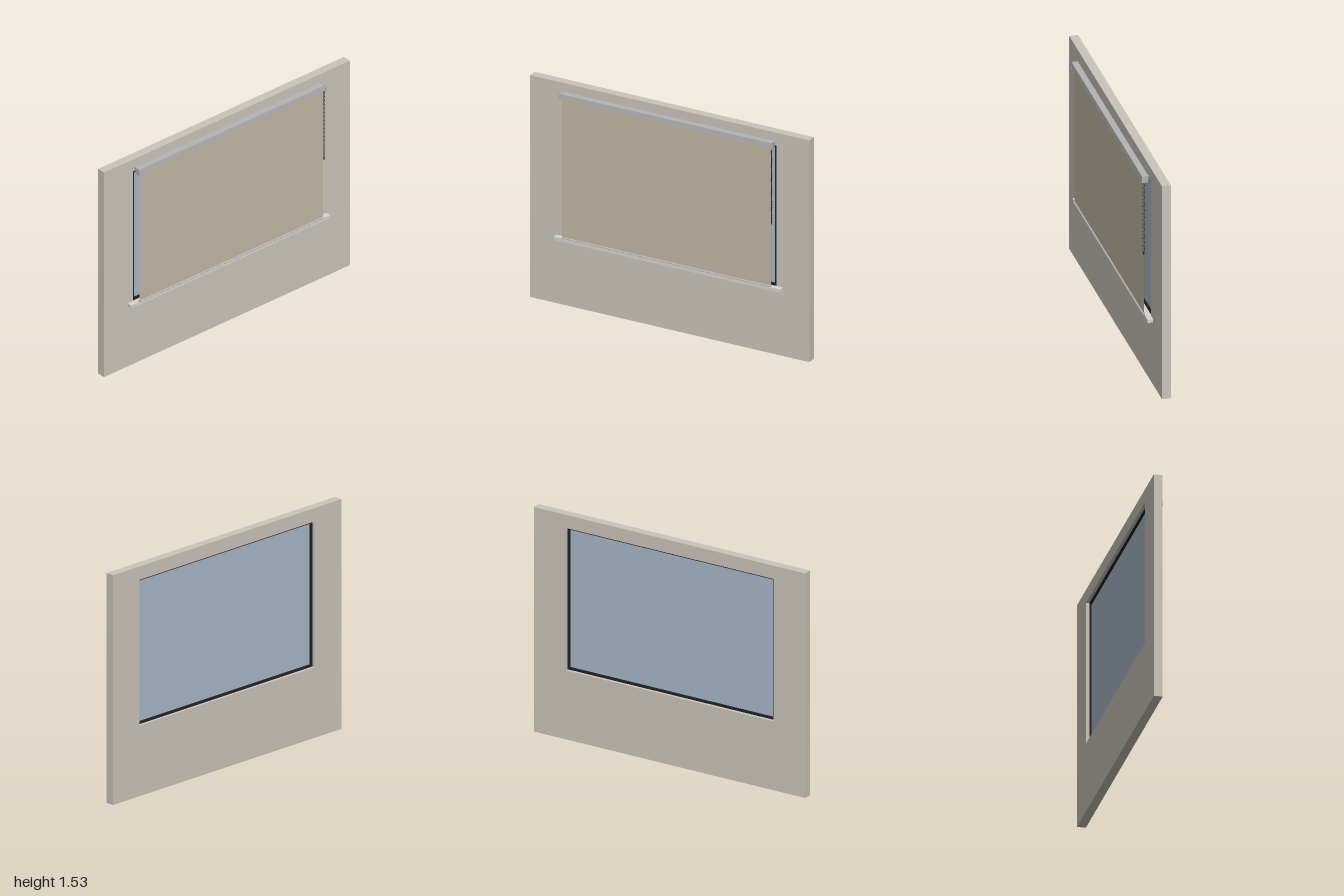
import * as THREE from 'three';

const mat = (color, side = THREE.FrontSide) => new THREE.MeshStandardMaterial({ color, side });
const WALL = mat(0xcbc5bb), GLASS = mat(0xa9b8c8), FRAME = mat(0x222222), SHADE = mat(0xc4b8a5, THREE.DoubleSide);
const METAL = mat(0xb4b4b4), SILL = mat(0xd8d6ce), CHAIN = mat(0x333333);

// Opening in the wall
const W = 0.765, Y0 = 0.47, Y1 = 1.44;

function add(parent, name, geometry, material, x = 0, y = 0, z = 0) {
  const mesh = new THREE.Mesh(geometry, material);
  mesh.name = name;
  mesh.position.set(x, y, z);
  parent.add(mesh);
  return mesh;
}

// Box given by its limits on each axis
function box(parent, name, material, [x0, x1], [y0, y1], [z0, z1]) {
  return add(parent, name, new THREE.BoxGeometry(x1 - x0, y1 - y0, z1 - z0), material,
    (x0 + x1) / 2, (y0 + y1) / 2, (z0 + z1) / 2);
}

function rectPath(Type, x, y0, y1) {
  return new Type([[-x, y0], [x, y0], [x, y1], [-x, y1]].map(p => new THREE.Vector2(...p)));
}

// Rectangular panel with a rectangular hole
function panel(outer, inner, depth) {
  const shape = rectPath(THREE.Shape, ...outer);
  shape.holes.push(rectPath(THREE.Path, ...inner));
  return new THREE.ExtrudeGeometry(shape, { depth, bevelEnabled: false });
}

// Profile of [z, y] points extruded along x, from x0 to x1
function rail(parent, name, profile, x0, x1, material) {
  const shape = new THREE.Shape(profile.map(([z, y]) => new THREE.Vector2(-z, y)));
  const geo = new THREE.ExtrudeGeometry(shape, { depth: x1 - x0, bevelEnabled: false });
  geo.rotateY(Math.PI / 2);
  return add(parent, name, geo, material, x0);
}

export function createModel() {
  const model = new THREE.Group();
  model.name = 'windowWithRollerShade';

  // Wall, window and sill
  add(model, 'wall', panel([1, 0, 1.53], [W, Y0, Y1], 0.057), WALL, 0, 0, -0.058);
  add(model, 'windowFrame', panel([W, Y0, Y1], [W - 0.015, Y0 + 0.015, Y1 - 0.015], 0.03), FRAME, 0, 0, -0.037);
  box(model, 'glass', GLASS, [-W + 0.01, W - 0.01], [Y0 + 0.01, Y1 - 0.01], [-0.025, -0.02]);
  box(model, 'sill', SILL, [-0.81, 0.81], [0.45, 0.473], [-0.001, 0.035]);

  // Roller shade
  const shade = new THREE.Group();
  shade.name = 'rollerShade';
  model.add(shade);
  rail(shade, 'headRail', [[0.015, 1.443], [0.015, 1.478], [0.055, 1.478], [0.058, 1.443]], -0.75, 0.75, METAL);
  for (const s of [-1, 1]) {
    rail(shade, 'endCap', [[0.02, 1.435], [0.02, 1.45], [0.014, 1.455], [0.014, 1.481], [0.057, 1.481], [0.06, 1.435]],
      s * 0.757 - 0.006, s * 0.757 + 0.006, METAL);
  }
  add(shade, 'fabric', new THREE.PlaneGeometry(1.496, 0.97), SHADE, 0, 0.965, 0.041);
  const hem = new THREE.CylinderGeometry(1, 1, 1.496, 12);
  hem.rotateZ(Math.PI / 2);
  add(shade, 'hemBar', hem, METAL, 0, 0.484, 0.041).scale.set(1, 0.005, 0.01);

  // Beaded control chain: two strands on a cord, with a weight at the bottom
  const chain = new THREE.Group();
  chain.name = 'controlChain';
  chain.position.x = 0.753;
  shade.add(chain);
  const beads = 52, pitch = 0.01, bead = new THREE.SphereGeometry(0.0028, 8, 6);
  const cord = new THREE.CylinderGeometry(0.0008, 0.0008, 0.51, 6);
  for (const z of [0.039, 0.048]) {
    add(chain, 'cord', cord, CHAIN, 0, 1.185, z);
    for (let i = 0; i < beads; i++) add(chain, 'bead', bead, CHAIN, 0, 1.44 - i * pitch, z);
  }
  add(chain, 'chainWeight', new THREE.CylinderGeometry(0.005, 0.0035, 0.02, 10), CHAIN, 0, 0.924, 0.0435);

  return model;
}
